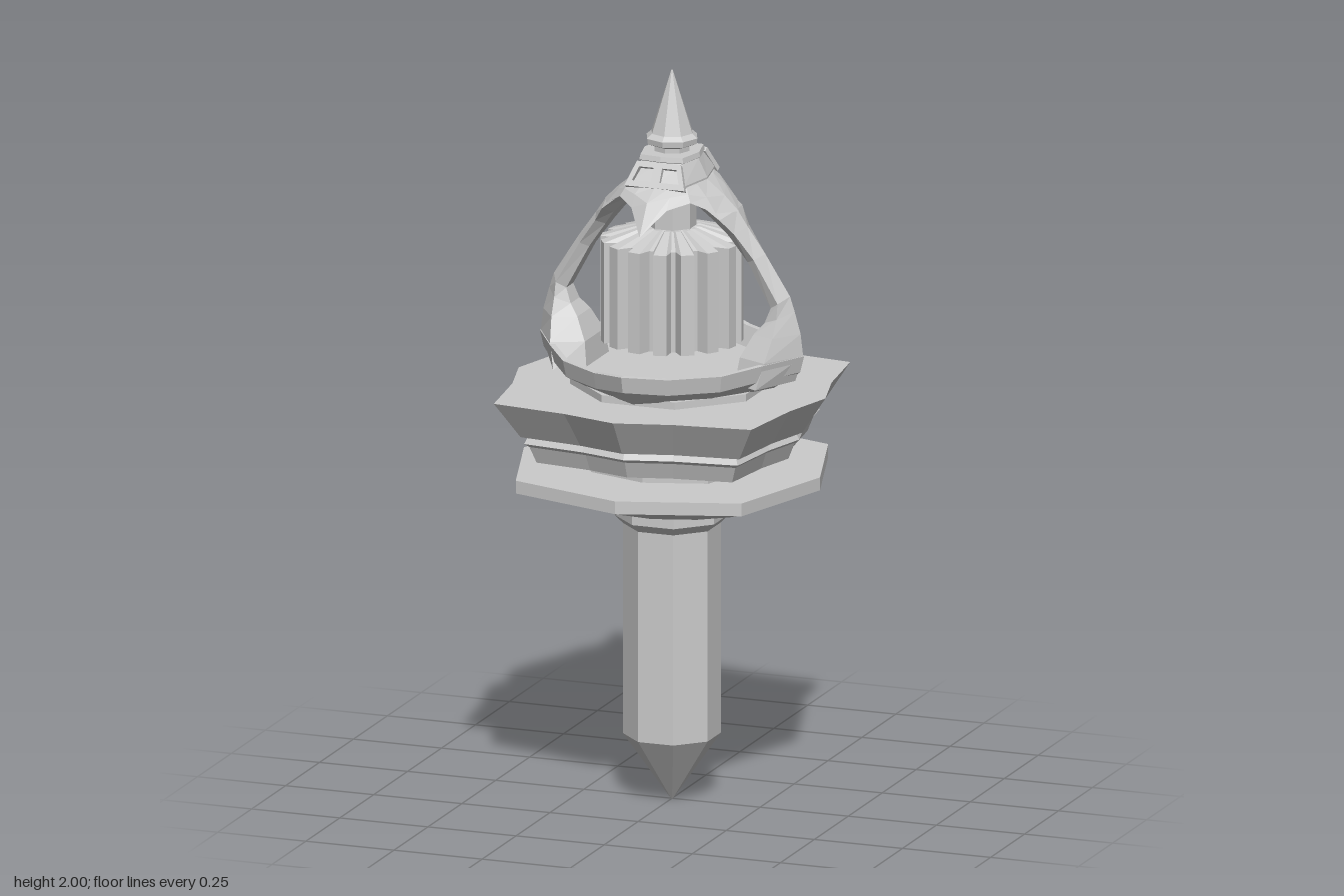
import * as THREE from 'three';

const material = new THREE.MeshStandardMaterial({ color: 0xcccccc, flatShading: true, side: THREE.DoubleSide });

// Skin a stack of equal-length closed loops, listed from bottom to top.
function loft(name, rows) {
  const n = rows[0].length, index = [];
  for (let j = 0; j < rows.length - 1; j++) {
    for (let i = 0; i < n; i++) {
      const a = j * n + i, b = j * n + (i + 1) % n;
      index.push(a, a + n, b, b, a + n, b + n);
    }
  }
  const geometry = new THREE.BufferGeometry();
  geometry.setAttribute('position', new THREE.Float32BufferAttribute(rows.flat(2), 3));
  geometry.setIndex(index);
  geometry.computeVertexNormals();
  const mesh = new THREE.Mesh(geometry, material);
  mesh.name = name;
  return mesh;
}

// Mirror a quarter outline [x, z, y] running from +x to +z into a full loop.
function mirror4(quarter) {
  const flip = (list, sx, sz) => list.map(([x, z, y]) => [x * sx, z * sz, y]);
  return [
    ...quarter,
    ...flip(quarter.slice(0, -1).reverse(), -1, 1),
    ...flip(quarter.slice(1), -1, -1),
    ...flip(quarter.slice(1, -1).reverse(), 1, -1),
  ];
}

// Place an outline at a height (or at its own heights plus an offset), scaled.
const row = (outline, scale, y) => outline.map(([x, z]) => [x * scale, y, z * scale]);
const ownRow = (outline, scale, dy = 0) => outline.map(([x, z, y]) => [x * scale, y + dy, z * scale]);

// Closed solid from [scale, y] steps of one outline.
function stack(name, outline, steps) {
  const first = steps[0], last = steps[steps.length - 1];
  return loft(name, [[0, first[1]], ...steps, [0, last[1]]].map(([s, y]) => row(outline, s, y)));
}

function polygon(sides, turn = 0) {
  return Array.from({ length: sides }, (_, i) => {
    const a = (i + turn) / sides * Math.PI * 2;
    return [Math.cos(a), Math.sin(a)];
  });
}

// Tapering arm that rises from the dish to the hood: [outer x, y, inner x, y, half depth]
function arm(side) {
  const sections = [
    [0.35, 1.18, 0.21, 1.18, 0.13], [0.372, 1.25, 0.22, 1.25, 0.11],
    [0.365, 1.31, 0.25, 1.31, 0.075], [0.348, 1.37, 0.275, 1.34, 0.05],
    [0.335, 1.41, 0.29, 1.38, 0.04], [0.265, 1.52, 0.225, 1.5, 0.04],
    [0.215, 1.59, 0.175, 1.57, 0.055], [0.185, 1.635, 0.145, 1.61, 0.085],
    [0.1, 1.7, 0.075, 1.67, 0.1],
  ];
  const rows = sections.map(([xo, yo, xi, yi, h]) => {
    const xm = xo + (xi - xo) * 0.45, ym = yo + (yi - yo) * 0.45;
    return [[xo, yo, 0], [xm, ym, h], [xi, yi, h * 0.65], [xi, yi, -h * 0.65], [xm, ym, -h]];
  });
  const mesh = loft(side > 0 ? 'leftArm' : 'rightArm', rows);
  if (side < 0) mesh.rotation.y = Math.PI;
  return mesh;
}

// Sloping frame with two openings on the cap
function windowFrame(side) {
  const outline = (points, Type) => new Type(points.map(([x, y]) => new THREE.Vector2(x, y)));
  const shape = outline([[-0.085, 0], [0.085, 0], [0.062, 0.07], [-0.062, 0.07]], THREE.Shape);
  for (const s of [-1, 1]) {
    shape.holes.push(outline([[s * 0.012, 0.016], [s * 0.066, 0.016], [s * 0.053, 0.055], [s * 0.012, 0.055]], THREE.Path));
  }
  const mesh = new THREE.Mesh(new THREE.ExtrudeGeometry(shape, { depth: 0.016, bevelEnabled: false }), material);
  mesh.rotation.x = -0.5;
  mesh.position.set(0, 1.7, 0.117);
  const group = new THREE.Group();
  group.name = side > 0 ? 'frontWindowFrame' : 'backWindowFrame';
  group.add(mesh);
  if (side < 0) group.rotation.y = Math.PI;
  return group;
}

export function createModel() {
  const model = new THREE.Group();
  model.name = 'ornamentalSpire';
  const octagon = polygon(8, 0.5);

  // Pointed stake and its collar
  model.add(stack('stake', octagon, [[0.003, 0], [0.13, 0.18], [0.13, 0.77]]));
  model.add(stack('collar', octagon, [[0.128, 0.755], [0.153, 0.78], [0.153, 0.81]]));

  // Eight-sided guard and the neck above it
  const guard = mirror4([[0.42, 0], [0.32, 0.32], [0, 0.42]]);
  model.add(stack('guard', guard, [[0.36, 0.805], [1, 0.887], [1, 0.922]]));
  model.add(stack('neck', guard, [[0.52, 0.92], [0.52, 0.97]]));

  // Two-tier plate with drawn-out corners
  const plate = mirror4([[0.435, 0], [0.393, 0.155], [0.365, 0.365], [0.155, 0.393], [0, 0.435]]);
  model.add(stack('lowerTier', plate, [[0.76, 0.965], [0.8, 1.01], [0.83, 1.02], [0.8, 1.045]]));
  model.add(stack('upperTier', plate, [[0.85, 1.04], [1, 1.14]]));
  model.add(stack('dishFoot', octagon, [[0.27, 1.13], [0.27, 1.16]]));

  // Shallow dish with a thin wavy rim
  const dish = mirror4([
    [0.375, 0, 1.25], [0.3, 0.12, 1.245], [0.225, 0.22, 1.235], [0.105, 0.305, 1.235], [0, 0.375, 1.25],
  ]);
  model.add(loft('dish', [
    row(dish, 0, 1.155), row(dish, 0.77, 1.155), ownRow(dish, 0.97, -0.045), ownRow(dish, 1),
    ownRow(dish, 0.95), row(dish, 0.88, 1.185), row(dish, 0, 1.185),
  ]));

  // Fluted drum hung on a rod
  const gear = [];
  for (let i = 0; i < 16; i++) {
    for (const [r, t] of [[0.152, 0.1], [0.19, 0.26], [0.19, 0.74], [0.152, 0.9]]) {
      const a = (i + t) / 16 * Math.PI * 2;
      gear.push([r * Math.cos(a), r * Math.sin(a)]);
    }
  }
  model.add(stack('flutedDrum', gear, [[1, 1.265], [1, 1.54], [0.4, 1.575]]));
  model.add(stack('rod', octagon, [[0.065, 1.55], [0.065, 1.72]]));

  // Arms and the hood with a beak at front and back
  model.add(arm(1), arm(-1));
  const brim = mirror4([
    [0.19, 0, 1.63], [0.155, 0.08, 1.64], [0.1, 0.125, 1.675], [0.05, 0.17, 1.66], [0, 0.24, 1.6],
  ]);
  const crown = mirror4([
    [0.15, 0, 1.67], [0.125, 0.07, 1.68], [0.09, 0.115, 1.695], [0.05, 0.145, 1.69], [0, 0.185, 1.68],
  ]);
  const top = mirror4([
    [0.1, 0, 1.71], [0.095, 0.06, 1.71], [0.08, 0.1, 1.71], [0.04, 0.12, 1.71], [0, 0.125, 1.71],
  ]);
  model.add(loft('hood', [
    ownRow(top, 0.7, -0.03), ownRow(crown, 0.92, -0.02), ownRow(brim, 1),
    ownRow(crown, 1), ownRow(top, 1), row(top, 0, 1.71),
  ]));

  // Windowed cap
  const capBase = mirror4([[0.1, 0], [0.078, 0.112], [0, 0.117]]);
  const capTop = mirror4([[0.075, 0], [0.058, 0.075], [0, 0.082]]);
  model.add(loft('cap', [
    row(capBase, 0, 1.7), row(capBase, 1, 1.7), row(capBase, 1, 1.715), row(capTop, 1, 1.765),
    row(capTop, 1.07, 1.768), row(capTop, 1.03, 1.782), row(capTop, 0, 1.782),
  ]));
  model.add(windowFrame(1), windowFrame(-1));

  // Finial
  model.add(stack('finial', polygon(8), [
    [0.05, 1.775], [0.05, 1.795], [0.07, 1.803], [0.072, 1.818], [0.058, 1.83], [0.035, 1.9], [0.002, 2],
  ]));
  return model;
}
